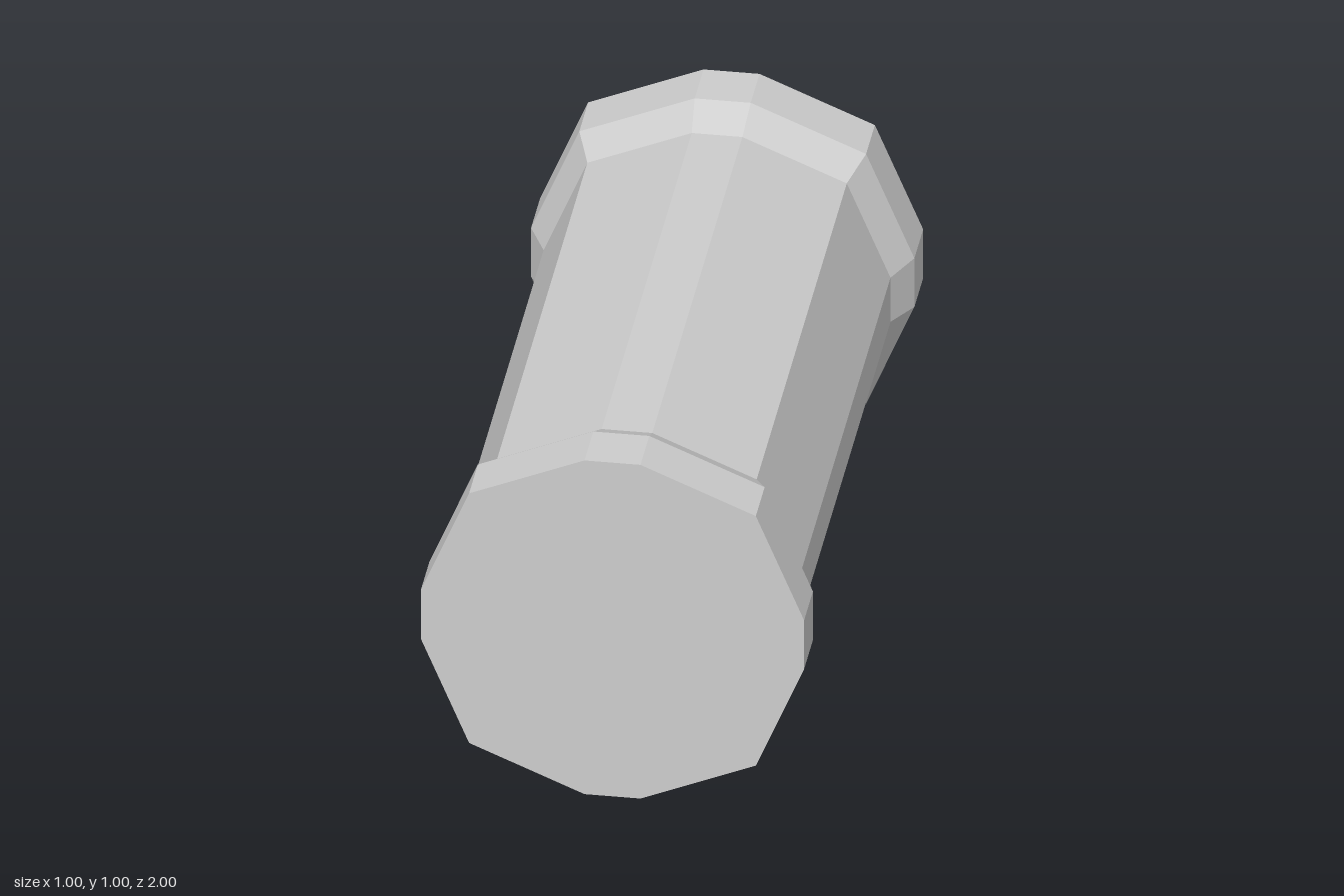
import * as THREE from 'three';

// Twelve-sided cross-section, counter-clockwise seen from +z, centred on the axis
const quarter = [[0.5, 0.073], [0.374, 0.374], [0.073, 0.5]];
const section = [];
for (let q = 0; q < 4; q++) {
  for (const [x, y] of quarter) {
    section.push(new THREE.Vector2(x, y).rotateAround(new THREE.Vector2(), q * Math.PI / 2));
  }
}

// Joins scaled copies of the section along z; stations are [z, scale] in rising z
function loft(stations) {
  const positions = [];
  const n = section.length;
  for (let s = 0; s < stations.length - 1; s++) {
    const [z0, k0] = stations[s];
    const [z1, k1] = stations[s + 1];
    for (let i = 0; i < n; i++) {
      const p = section[i], r = section[(i + 1) % n];
      const a = [p.x * k0, p.y * k0, z0], b = [r.x * k0, r.y * k0, z0];
      const c = [r.x * k1, r.y * k1, z1], d = [p.x * k1, p.y * k1, z1];
      positions.push(...a, ...b, ...c, ...a, ...c, ...d);
    }
  }
  const geometry = new THREE.BufferGeometry();
  geometry.setAttribute('position', new THREE.Float32BufferAttribute(positions, 3));
  geometry.computeVertexNormals();
  return geometry;
}

export function createModel() {
  const model = new THREE.Group();
  model.name = 'barrel';
  const grey = new THREE.MeshStandardMaterial({ color: 0xcccccc, flatShading: true });
  grey.name = 'light grey';

  const add = (name, geometry) => {
    const mesh = new THREE.Mesh(geometry, grey);
    mesh.name = name;
    mesh.position.y = 0.5;
    model.add(mesh);
    return mesh;
  };

  // Narrow middle
  const waist = 0.905;
  add('body', loft([[-0.757, waist], [0.757, waist]]));

  // Flared collars at both ends
  add('frontCollar', loft([[0.757, waist], [0.852, 1], [1, 1]]));
  add('backCollar', loft([[-1, 1], [-0.852, 1], [-0.757, waist]]));

  // Flat end caps
  const cap = new THREE.ShapeGeometry(new THREE.Shape(section));
  add('frontCap', cap).position.z = 1;
  const backCap = add('backCap', cap);
  backCap.position.z = -1;
  backCap.rotation.y = Math.PI;

  return model;
}
